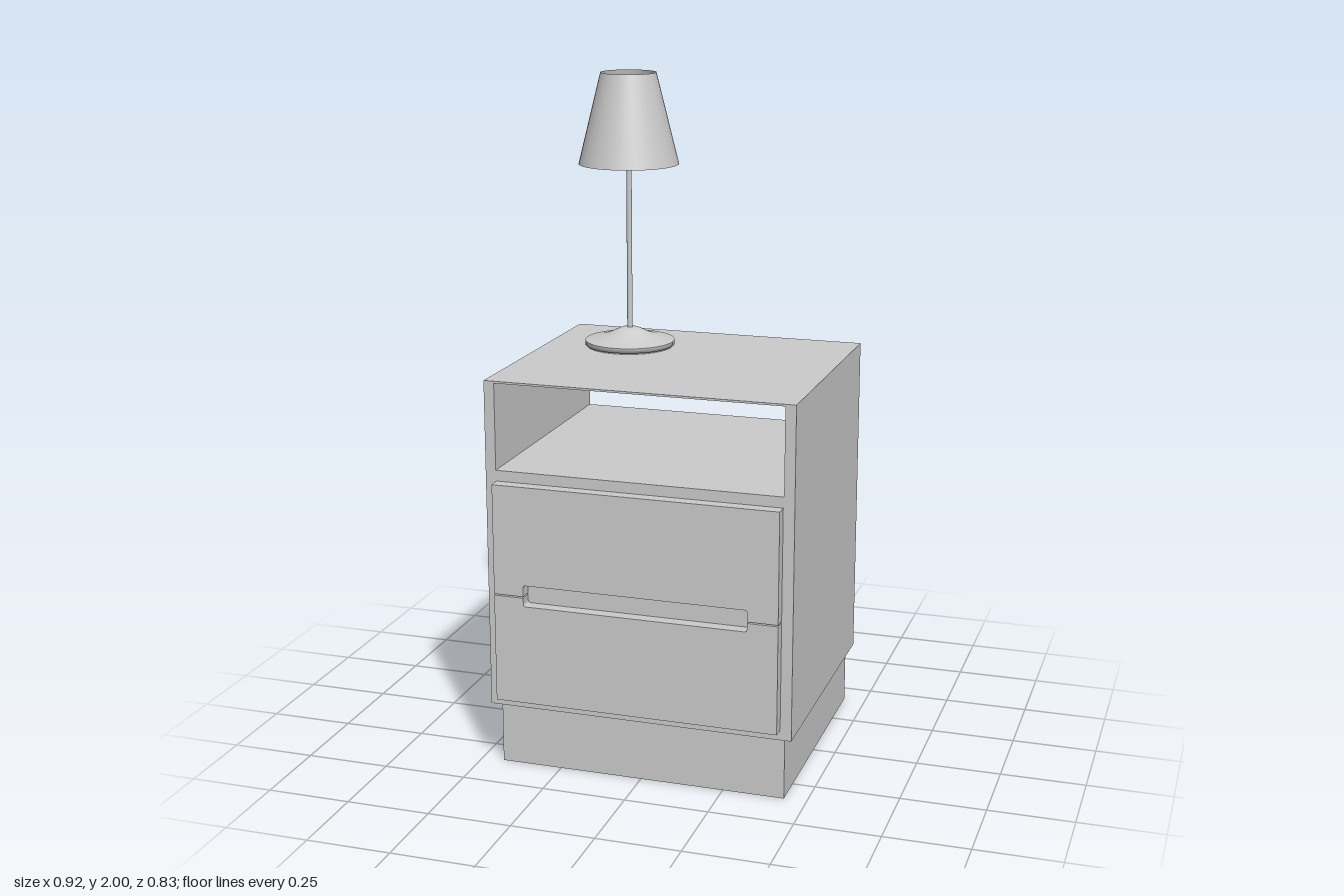
import * as THREE from 'three';

const material = new THREE.MeshStandardMaterial({ color: 0xcccccc });
const thinMaterial = new THREE.MeshStandardMaterial({ color: 0xcccccc, side: THREE.DoubleSide });

function add(parent, name, geometry, mat = material) {
  const mesh = new THREE.Mesh(geometry, mat);
  mesh.name = name;
  parent.add(mesh);
  return mesh;
}

// Box given by its low and high corners
function box(parent, name, [x0, y0, z0], [x1, y1, z1]) {
  const mesh = add(parent, name, new THREE.BoxGeometry(x1 - x0, y1 - y0, z1 - z0));
  mesh.position.set((x0 + x1) / 2, (y0 + y1) / 2, (z0 + z1) / 2);
}

function rectangle(Type, x0, y0, x1, y1) {
  return new Type([[x0, y0], [x1, y0], [x1, y1], [x0, y1]].map(p => new THREE.Vector2(...p)));
}

function lathe(points) {
  return new THREE.LatheGeometry(points.map(p => new THREE.Vector2(...p)), 40);
}

// Drawer front with a slightly rounded finger notch along its inner edge
function drawerFront(outerY, innerY, notchY) {
  const s = Math.sign(notchY - innerY), w = 0.425, n = 0.335, r = 0.008;
  const shape = new THREE.Shape();
  shape.moveTo(-w, outerY);
  shape.lineTo(w, outerY);
  shape.lineTo(w, innerY);
  shape.lineTo(n, innerY);
  shape.lineTo(n, notchY - s * r);
  shape.quadraticCurveTo(n, notchY, n - r, notchY);
  shape.lineTo(-n + r, notchY);
  shape.quadraticCurveTo(-n, notchY, -n, notchY - s * r);
  shape.lineTo(-n, innerY);
  shape.lineTo(-w, innerY);
  shape.closePath();
  return new THREE.ExtrudeGeometry(shape, { depth: 0.038, bevelEnabled: false, curveSegments: 4 });
}

export function createModel() {
  const model = new THREE.Group();
  model.name = 'nightstandWithLamp';

  // Cabinet, open right through above the drawers
  const cabinet = new THREE.Group();
  cabinet.name = 'nightstand';
  model.add(cabinet);
  box(cabinet, 'plinth', [-0.433, 0, -0.413], [0.433, 0.19, 0.352]);
  const profile = rectangle(THREE.Shape, -0.458, 0.19, 0.458, 1.175);
  profile.holes.push(rectangle(THREE.Path, -0.427, 0.912, 0.427, 1.169));
  const body = add(cabinet, 'cabinetBody',
    new THREE.ExtrudeGeometry(profile, { depth: 0.788, bevelEnabled: false }));
  body.position.z = -0.413;

  // Two drawer fronts sharing a handle slot
  add(cabinet, 'upperDrawer', drawerFront(0.88, 0.55, 0.584)).position.z = 0.375;
  add(cabinet, 'lowerDrawer', drawerFront(0.221, 0.546, 0.52)).position.z = 0.375;

  // Table lamp, standing off-centre on the top
  const lamp = new THREE.Group();
  lamp.name = 'lamp';
  lamp.position.set(-0.206, 1.175, -0.172);
  model.add(lamp);
  add(lamp, 'lampFoot', lathe([[0, 0], [0.13, 0], [0.13, 0.006]]));
  add(lamp, 'lampBaseRim', lathe([[0.12, 0.006], [0.136, 0.006], [0.136, 0.02]]));
  add(lamp, 'lampBase', lathe([[0.136, 0.02], [0.1, 0.027], [0.07, 0.036], [0.045, 0.048],
    [0.028, 0.056], [0.015, 0.058], [0, 0.058]]));
  const pole = add(lamp, 'lampPole', new THREE.CylinderGeometry(0.008, 0.008, 0.57, 20));
  pole.position.y = 0.335;
  const shade = add(lamp, 'lampShade',
    new THREE.CylinderGeometry(0.083, 0.15, 0.27, 40, 1, true), thinMaterial);
  shade.position.y = 0.69;

  return model;
}
